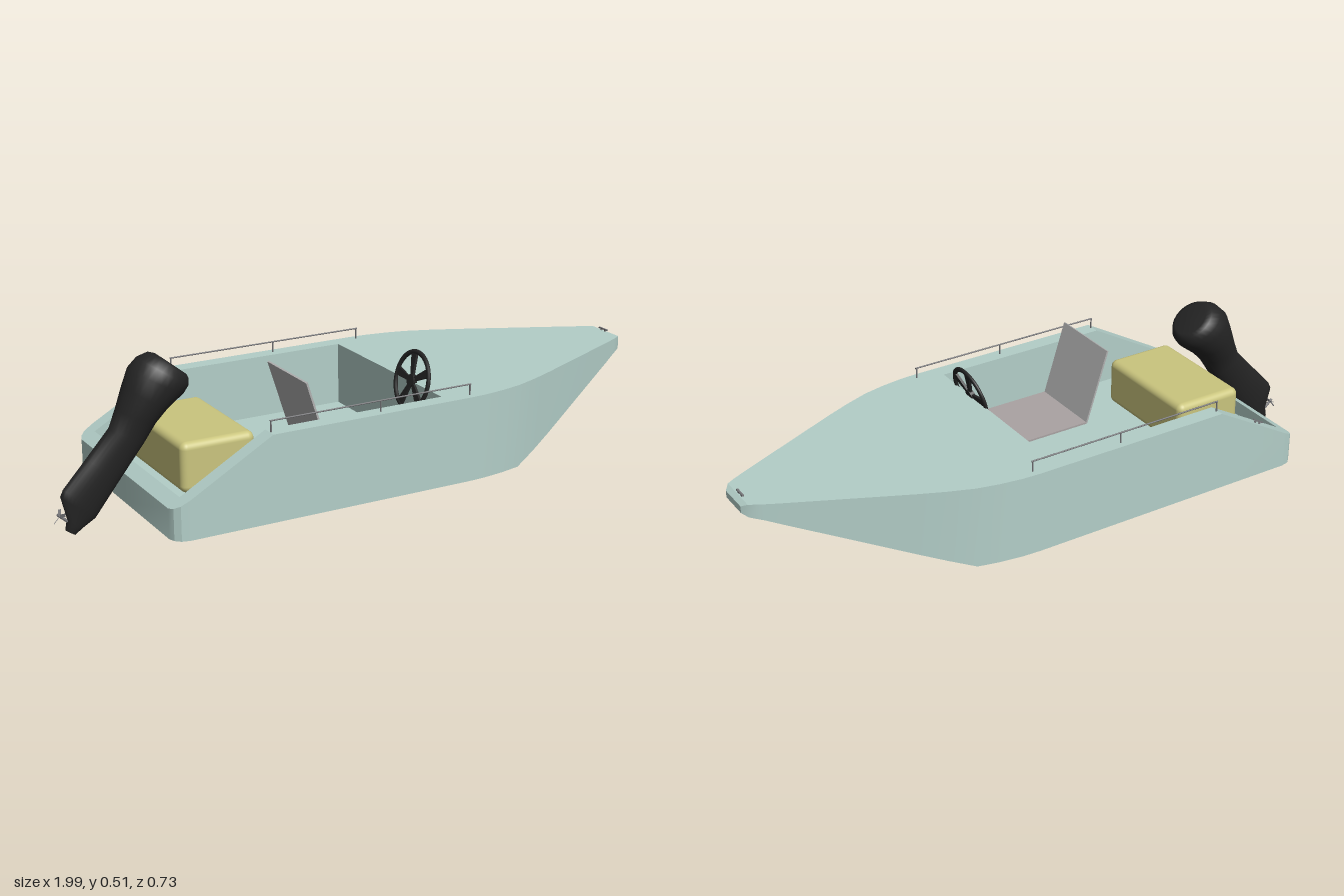
import * as THREE from 'three';
import { toCreasedNormals } from 'three/addons/utils/BufferGeometryUtils.js';
import { RoundedBoxGeometry } from 'three/addons/geometries/RoundedBoxGeometry.js';

const mat = (name, color, side = THREE.FrontSide) => {
  const m = new THREE.MeshStandardMaterial({ color, side });
  m.name = name;
  return m;
};

// piecewise linear lookup
const interp = (pts, x) => {
  for (let i = 1; i < pts.length; i++) {
    const [x0, y0] = pts[i - 1], [x1, y1] = pts[i];
    if (x <= x1) return y0 + (y1 - y0) * (x - x0) / (x1 - x0);
  }
  return pts[pts.length - 1][1];
};

const HALF_WIDTH = [[-0.77, 0.325], [-0.763, 0.345], [-0.747, 0.36], [-0.72, 0.366], [0.2, 0.366],
  [0.26, 0.363], [0.33, 0.353], [0.4, 0.337], [0.48, 0.307], [0.56, 0.272], [0.91, 0.108],
  [0.96, 0.083], [0.985, 0.068], [1.0, 0.05]];
const TOP = [[-0.77, 0.165], [-0.46, 0.34], [0.985, 0.34], [1.0, 0.33]];
const BOTTOM = [[-0.77, 0.073], [0.4, 0.073], [0.95, 0.288], [0.985, 0.298], [1.0, 0.308]];
const WELL = { x0: -0.73, x1: 0.13, z: 0.315, floor: 0.14 };

// hull skin, open cockpit and sloped stern, built in strips between stations
function hullGeometry() {
  const pos = [];
  const quad = (...pts) => {
    for (const s of [1, -1]) {
      const [a, b, c, d] = s > 0 ? pts : [...pts].reverse();
      for (const p of [a, b, c, a, c, d]) pos.push(p[0], p[1], p[2] * s);
    }
  };
  const end = (x, y0, y1, w, front) => {
    const q = [[x, y0, 0], [x, y0, w], [x, y1, w], [x, y1, 0]];
    quad(...(front ? q.reverse() : q));
  };
  const xs = [...new Set([HALF_WIDTH, TOP, BOTTOM].flat().map(p => p[0]).concat(WELL.x0, WELL.x1))]
    .sort((a, b) => a - b);
  for (let i = 1; i < xs.length; i++) {
    const a = xs[i - 1], b = xs[i];
    const [wa, wb] = [a, b].map(x => interp(HALF_WIDTH, x));
    const [ta, tb] = [a, b].map(x => interp(TOP, x));
    const [ba, bb] = [a, b].map(x => interp(BOTTOM, x));
    const inWell = a >= WELL.x0 && b <= WELL.x1;
    const z = inWell ? WELL.z : 0, f = WELL.floor;
    quad([a, ba, wa], [b, bb, wb], [b, tb, wb], [a, ta, wa]);
    quad([a, ba, 0], [b, bb, 0], [b, bb, wb], [a, ba, wa]);
    quad([a, ta, wa], [b, tb, wb], [b, tb, z], [a, ta, z]);
    if (inWell) {
      quad([a, ta, z], [b, tb, z], [b, f, z], [a, f, z]);
      quad([a, f, z], [b, f, z], [b, f, 0], [a, f, 0]);
    }
  }
  end(-0.77, 0.073, 0.165, 0.325, false);
  end(1.0, 0.308, 0.33, 0.05, true);
  end(WELL.x1, WELL.floor, 0.34, WELL.z, false);
  end(WELL.x0, WELL.floor, interp(TOP, WELL.x0), WELL.z, true);
  const g = new THREE.BufferGeometry();
  g.setAttribute('position', new THREE.Float32BufferAttribute(pos, 3));
  return toCreasedNormals(g, 0.4);
}

// outboard body: ellipses between rear point, front point, with half width in z
function motorGeometry() {
  const rings = [
    [-0.94, 0.01, -0.94, 0.01, 0], [-0.955, 0.02, -0.925, 0.0, 0.009],
    [-0.948, 0.055, -0.905, 0.015, 0.013], [-0.965, 0.125, -0.862, 0.04, 0.02],
    [-0.955, 0.145, -0.85, 0.055, 0.023], [-0.88, 0.225, -0.785, 0.14, 0.032],
    [-0.805, 0.305, -0.7, 0.25, 0.043], [-0.78, 0.36, -0.665, 0.305, 0.06],
    [-0.755, 0.425, -0.63, 0.343, 0.076], [-0.735, 0.475, -0.575, 0.385, 0.084],
    [-0.705, 0.503, -0.56, 0.405, 0.082], [-0.67, 0.514, -0.558, 0.425, 0.07],
    [-0.65, 0.508, -0.563, 0.437, 0.055], [-0.605, 0.472, -0.605, 0.472, 0]];
  const N = 28, pos = [], idx = [];
  rings.forEach(([x0, y0, x1, y1, w], i) => {
    for (let j = 0; j < N; j++) {
      const t = j / N * Math.PI * 2, k = (1 + Math.cos(t)) / 2;
      pos.push(x0 + (x1 - x0) * k, y0 + (y1 - y0) * k, w * Math.sin(t));
      if (i === 0) continue;
      const n = (j + 1) % N, lo = (i - 1) * N, hi = i * N;
      idx.push(lo + j, hi + j, hi + n, lo + j, hi + n, lo + n);
    }
  });
  const g = new THREE.BufferGeometry();
  g.setAttribute('position', new THREE.Float32BufferAttribute(pos, 3));
  g.setIndex(idx);
  g.computeVertexNormals();
  return g;
}

export function createModel() {
  const model = new THREE.Group();
  model.name = 'motorboat';
  const hullMat = mat('paleTeal', 0xb3cec8);
  const black = mat('black', 0x242424);
  const yellow = mat('mutedYellow', 0xcac57e);
  const seatMat = mat('warmGrey', 0xaaa3a3, THREE.DoubleSide);
  const backMat = mat('grey', 0xb0b0b0, THREE.DoubleSide);
  const metal = mat('metal', 0x77777a);

  const add = (name, geo, material, x = 0, y = 0, z = 0, parent = model) => {
    const m = new THREE.Mesh(geo, material);
    m.name = name;
    m.position.set(x, y, z);
    parent.add(m);
    return m;
  };
  const box = (...s) => new THREE.BoxGeometry(...s);

  add('hull', hullGeometry(), hullMat);
  add('rearBench', new RoundedBoxGeometry(0.236, 0.155, 0.39, 4, 0.022), yellow, -0.548, 0.215, 0);

  // driver's seat: flat pan and leaning back
  add('seatPan', box(0.28, 0.006, 0.245), seatMat, -0.08, 0.2, 0.138);
  const back = add('seatBack', box(0.006, 0.248, 0.245), backMat, -0.258, 0.318, 0.138);
  back.rotation.z = Math.atan2(0.075, 0.235);

  // steering wheel, tilted towards the bow
  const wheel = new THREE.Group();
  wheel.name = 'steeringWheel';
  wheel.position.set(0.13, 0.344, 0.147);
  wheel.rotation.set(0, Math.PI / 2, -0.25, 'ZYX');
  model.add(wheel);
  const rim = add('wheelRim', new THREE.TorusGeometry(0.089, 0.008, 10, 48), black, 0, 0, 0, wheel);
  rim.scale.z = 0.75;
  const hub = add('wheelHub', new THREE.CylinderGeometry(0.019, 0.019, 0.014, 24), black, 0, 0, 0, wheel);
  hub.rotation.x = Math.PI / 2;
  const spokeShape = new THREE.Shape([[-0.006, 0.01], [0.006, 0.01], [0.014, 0.088], [-0.014, 0.088]]
    .map(p => new THREE.Vector2(...p)));
  const spokeGeo = new THREE.ExtrudeGeometry(spokeShape, { depth: 0.008, bevelEnabled: false });
  spokeGeo.translate(0, 0, -0.004);
  for (let i = 0; i < 5; i++) {
    add('wheelSpoke', spokeGeo, black, 0, 0, 0, wheel).rotation.z = -0.2 - i * Math.PI * 0.4;
  }

  // side rails
  for (const s of [1, -1]) {
    const bar = add('rail', new THREE.CylinderGeometry(0.0025, 0.0025, 0.675, 8), metal, -0.121, 0.374, s * 0.343);
    bar.rotation.z = Math.PI / 2;
    for (const x of [-0.456, -0.097, 0.213]) {
      add('railPost', new THREE.CylinderGeometry(0.0025, 0.0025, 0.038, 8), metal, x, 0.356, s * 0.343);
    }
  }

  // mooring cleats at the bow and on the sloped stern rim
  const cleat = (name, x, y, z, turnY, tiltZ) => {
    const g = new THREE.Group();
    g.name = name;
    g.position.set(x, y, z);
    g.rotation.set(0, turnY, tiltZ, 'ZYX');
    model.add(g);
    add('cleatBar', box(0.042, 0.004, 0.006), metal, 0, 0.008, 0, g);
    for (const s of [1, -1]) add('cleatFoot', box(0.005, 0.008, 0.005), metal, s * 0.01, 0.003, 0, g);
  };
  cleat('bowCleat', 0.98, 0.339, -0.007, Math.PI / 2, 0);
  cleat('sternCleat', -0.62, 0.249, -0.345, 0, Math.atan2(0.175, 0.31));

  // tilted outboard motor and its propeller
  add('outboardMotor', motorGeometry(), black);
  const prop = new THREE.Group();
  prop.name = 'propeller';
  prop.position.set(-0.967, 0.064, 0);
  prop.rotation.z = 0.86;
  model.add(prop);
  add('propellerShaft', new THREE.CylinderGeometry(0.004, 0.005, 0.05, 12), metal, 0, -0.012, 0, prop);
  for (let i = 0; i < 3; i++) {
    const arm = new THREE.Group();
    arm.name = 'propellerArm';
    arm.rotation.y = i * Math.PI * 2 / 3 + Math.PI;
    prop.add(arm);
    add('propellerBlade', box(0.027, 0.002, 0.009), metal, 0.014, 0.004, 0, arm).rotation.x = 0.5;
  }
  return model;
}
